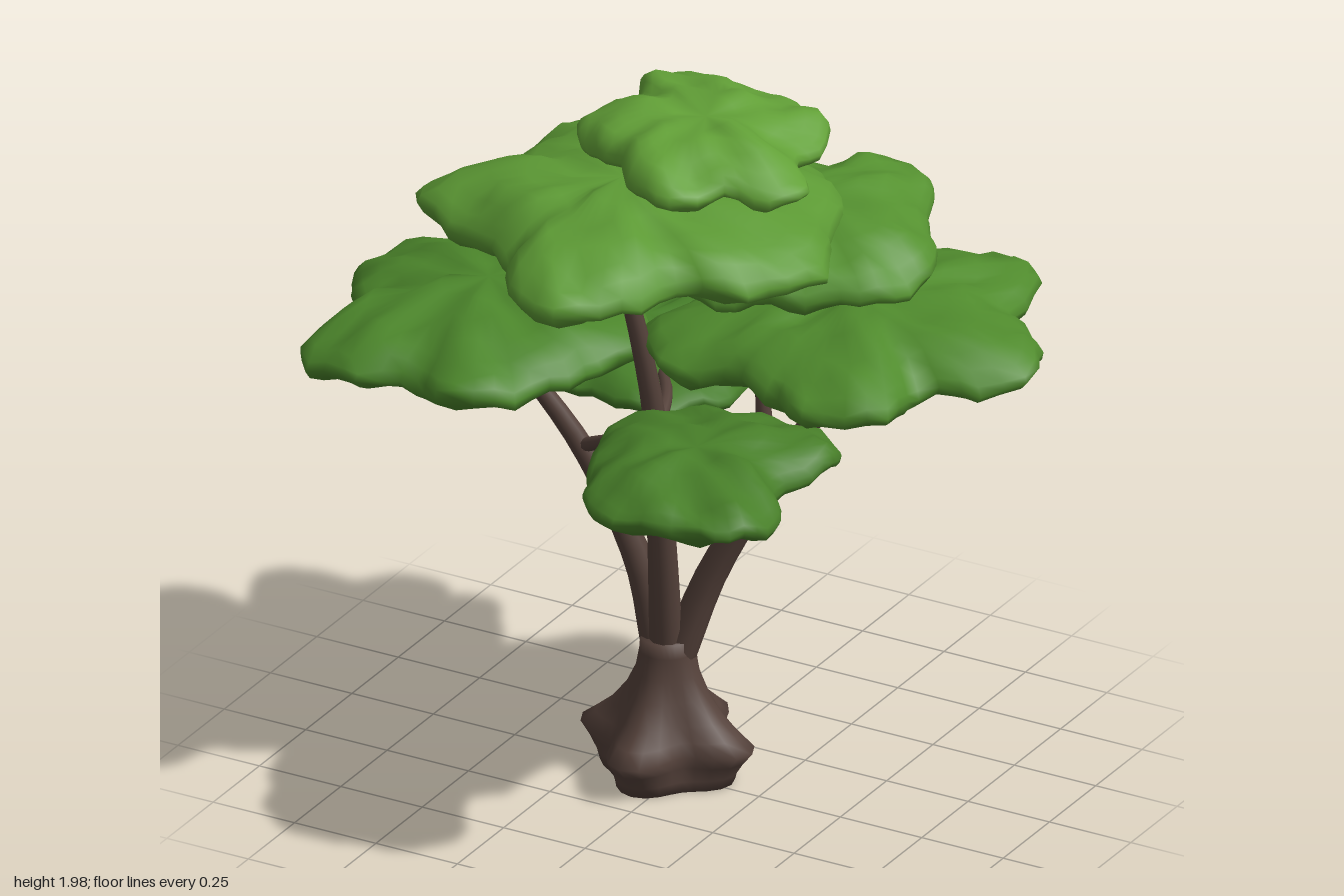
import * as THREE from 'three';
import { mergeVertices } from 'three/addons/utils/BufferGeometryUtils.js';

const barkMat = new THREE.MeshStandardMaterial({ color: 0x54413a });

// Smooth pseudo-noise in the range -1..1
function lumps(x, y, z) {
  return (Math.sin(17 * x + 5 * z + 1.3) * Math.sin(19 * z - 4 * x + 9 * y)
    + 0.8 * Math.sin(33 * x - 13 * z + 2.1) * Math.sin(29 * z + 11 * x + 0.6)) / 1.5;
}

// Closed surface from rows of points running from top to bottom
function loft(rows) {
  const n = rows[0].length, pos = [], index = [];
  rows.forEach(row => row.forEach(p => pos.push(p.x, p.y, p.z)));
  for (let j = 0; j < rows.length - 1; j++) {
    for (let i = 0; i < n; i++) {
      const a = j * n + i, b = j * n + (i + 1) % n;
      if (j > 0) index.push(a, b, a + n);
      if (j < rows.length - 2) index.push(b, b + n, a + n);
    }
  }
  let geo = new THREE.BufferGeometry();
  geo.setAttribute('position', new THREE.Float32BufferAttribute(pos, 3));
  geo.setIndex(index);
  geo = mergeVertices(geo, 1e-5);
  geo.computeVertexNormals();
  return geo;
}

// Cushion of leaves: domed top, flatter underside.
// rim = edge height, rise/drop from it, slope = [along x, along z], outline = x,z pairs
function foliagePad(name, color, rim, rise, drop, slope, outline) {
  const pts = [];
  for (let i = 0; i < outline.length; i += 2) pts.push(new THREE.Vector3(outline[i], 0, outline[i + 1]));
  const edge = new THREE.CatmullRomCurve3(pts, true).getSpacedPoints(56).slice(0, 56);
  const mid = new THREE.Box3().setFromPoints(edge).getCenter(new THREE.Vector3());
  const rows = [], steps = 14;
  for (let j = 0; j <= steps; j++) {
    const t = Math.PI * j / steps, c = Math.cos(t);
    const s = j === 0 || j === steps ? 0 : Math.pow(Math.sin(t), 0.9);
    const h = c > 0 ? rise * Math.pow(c, 1.15) : -drop * Math.pow(-c, 0.75);
    rows.push(edge.map(e => {
      const p = mid.clone().lerp(e, s);
      p.y = rim + h + slope[0] * (p.x - mid.x) + slope[1] * (p.z - mid.z);
      p.y += 0.024 * lumps(p.x, rim + h, p.z);
      // ragged rim
      const pull = 0.04 * s * lumps(p.z, 3 * h, p.x) - 0.01 * s;
      p.x += (mid.x - p.x) * pull;
      p.z += (mid.z - p.z) * pull;
      return p;
    }));
  }
  const mesh = new THREE.Mesh(loft(rows), new THREE.MeshStandardMaterial({ color }));
  mesh.name = name;
  return mesh;
}

// Tapering limb along a curve
function limb(name, r0, r1, ...points) {
  const curve = new THREE.CatmullRomCurve3(points.map(p => new THREE.Vector3(...p)));
  const segs = 14, sides = 10;
  const geo = new THREE.TubeGeometry(curve, segs, 1, sides, false);
  const pos = geo.attributes.position, v = new THREE.Vector3();
  for (let i = 0; i < pos.count; i++) {
    const u = Math.floor(i / (sides + 1)) / segs, c = curve.getPointAt(u);
    v.fromBufferAttribute(pos, i).sub(c).multiplyScalar(r0 + (r1 - r0) * u).add(c);
    pos.setXYZ(i, v.x, v.y, v.z);
  }
  const mesh = new THREE.Mesh(geo, barkMat);
  mesh.name = name;
  return mesh;
}

// Swollen foot with four root lobes: height, radius, lobe depth
function trunkBase() {
  const profile = [[0.4, 0, 0], [0.4, 0.073, 0], [0.36, 0.076, 0], [0.3, 0.09, 0.04], [0.24, 0.12, 0.08],
    [0.18, 0.167, 0.14], [0.14, 0.215, 0.18], [0.105, 0.26, 0.2], [0.07, 0.232, 0.18],
    [0.03, 0.207, 0.14], [0, 0.197, 0.12], [0, 0, 0]];
  const rows = profile.map(([y, r, lobe]) => Array.from({ length: 32 }, (_, i) => {
    const a = i / 32 * Math.PI * 2;
    const q = r * (1 - lobe * (1 - Math.cos(4 * a)));
    return new THREE.Vector3(-0.045 + q * Math.cos(a), y, -0.025 + q * Math.sin(a));
  }));
  const mesh = new THREE.Mesh(loft(rows), barkMat);
  mesh.name = 'trunkBase';
  return mesh;
}

export function createModel() {
  const tree = new THREE.Group();
  tree.name = 'tree';

  const wood = new THREE.Group();
  wood.name = 'wood';
  wood.add(
    trunkBase(),
    limb('middleStem', 0.046, 0.02, [-0.04, 0.36, -0.01], [-0.025, 0.7, 0.04], [-0.02, 1.1, 0.09], [-0.05, 1.35, 0.12], [-0.11, 1.64, 0.15]),
    limb('rightStem', 0.048, 0.02, [-0.07, 0.36, -0.02], [-0.13, 0.6, -0.02], [-0.29, 0.92, 0.01], [-0.52, 1.24, 0.08]),
    limb('leftStem', 0.048, 0.022, [-0.01, 0.36, -0.03], [0.07, 0.6, -0.07], [0.24, 0.92, -0.12], [0.47, 1.32, -0.19]),
    limb('upperTwig', 0.025, 0.015, [0.23, 0.92, -0.1], [0.2, 1.15, -0.11], [0.16, 1.5, -0.26]),
    limb('frontTwig', 0.02, 0.014, [-0.29, 0.92, 0.01], [-0.05, 1.04, 0.11], [0.2, 1.12, 0.28]),
    limb('backTwig', 0.02, 0.014, [-0.02, 1.06, 0.08], [-0.08, 1.09, -0.08], [-0.25, 1.1, -0.3]),
  );

  const foliage = new THREE.Group();
  foliage.name = 'foliage';
  foliage.add(
    foliagePad('crownPad', 0x62a037, 1.865, 0.105, 0.045, [-0.03, 0],
      [-0.27, -0.3, -0.1, -0.36, 0.1, -0.38, 0.27, -0.32, 0.33, -0.2, 0.32, -0.08, 0.41, 0.02, 0.36, 0.12,
        0.24, 0.17, 0.15, 0.28, 0, 0.26, -0.1, 0.16, -0.25, 0.1, -0.29, -0.02, -0.22, -0.15]),
    foliagePad('upperPad', 0x5c9934, 1.665, 0.155, 0.07, [-0.02, 0.02],
      [-0.52, -0.26, -0.42, -0.34, -0.2, -0.35, 0.1, -0.41, 0.28, -0.38, 0.4, -0.15, 0.48, 0.06, 0.44, 0.22,
        0.33, 0.34, 0.22, 0.38, 0.15, 0.55, 0, 0.7, -0.15, 0.63, -0.25, 0.48, -0.45, 0.38, -0.62, 0.3,
        -0.65, 0.18, -0.52, 0.02]),
    foliagePad('leftPad', 0x508b2d, 1.35, 0.135, 0.065, [0.06, -0.02],
      [0.42, -0.6, 0.55, -0.7, 0.72, -0.67, 0.79, -0.5, 0.8, -0.4, 0.95, -0.3, 1.01, -0.13, 0.92, 0, 0.78, 0.05,
        0.78, 0.25, 0.6, 0.34, 0.45, 0.28, 0.3, 0.2, 0.1, 0.2, -0.08, 0.05, -0.02, -0.2, 0.1, -0.4, 0.25, -0.5]),
    foliagePad('backPad', 0x559130, 1.515, 0.15, 0.06, [0.04, -0.02],
      [-0.24, -0.45, -0.18, -0.62, 0, -0.63, 0.14, -0.65, 0.27, -0.76, 0.4, -0.7, 0.46, -0.52, 0.6, -0.35,
        0.61, -0.2, 0.5, -0.05, 0.3, 0.06, 0.1, 0.1, -0.1, 0, -0.17, -0.2, -0.22, -0.3]),
    foliagePad('rightPad', 0x4c862b, 1.26, 0.13, 0.065, [0.06, -0.01],
      [-0.98, -0.13, -0.93, -0.23, -0.8, -0.25, -0.63, -0.4, -0.4, -0.4, -0.25, -0.3, -0.16, -0.1, -0.06, 0.05,
        -0.13, 0.25, -0.25, 0.48, -0.4, 0.58, -0.55, 0.5, -0.7, 0.56, -0.88, 0.48, -0.92, 0.35, -0.88, 0.2,
        -0.97, 0.05, -1.01, -0.05]),
    foliagePad('lowerBackPad', 0x457c28, 1.065, 0.085, 0.045, [-0.06, 0.02],
      [-0.65, -0.55, -0.6, -0.64, -0.42, -0.66, -0.36, -0.74, -0.23, -0.75, -0.17, -0.62, -0.05, -0.55,
        0.04, -0.35, 0.02, -0.15, -0.1, 0, -0.3, -0.02, -0.5, 0, -0.58, -0.12, -0.56, -0.3, -0.62, -0.42]),
    foliagePad('lowerFrontPad', 0x487f29, 1.12, 0.1, 0.055, [0.02, 0.02],
      [0.08, 0.65, -0.03, 0.4, -0.07, 0.25, 0.03, 0.08, 0.2, 0.02, 0.4, -0.01, 0.55, 0.07, 0.55, 0.22,
        0.5, 0.36, 0.6, 0.5, 0.56, 0.68, 0.42, 0.71, 0.22, 0.74]),
  );

  tree.add(wood, foliage);
  return tree;
}
